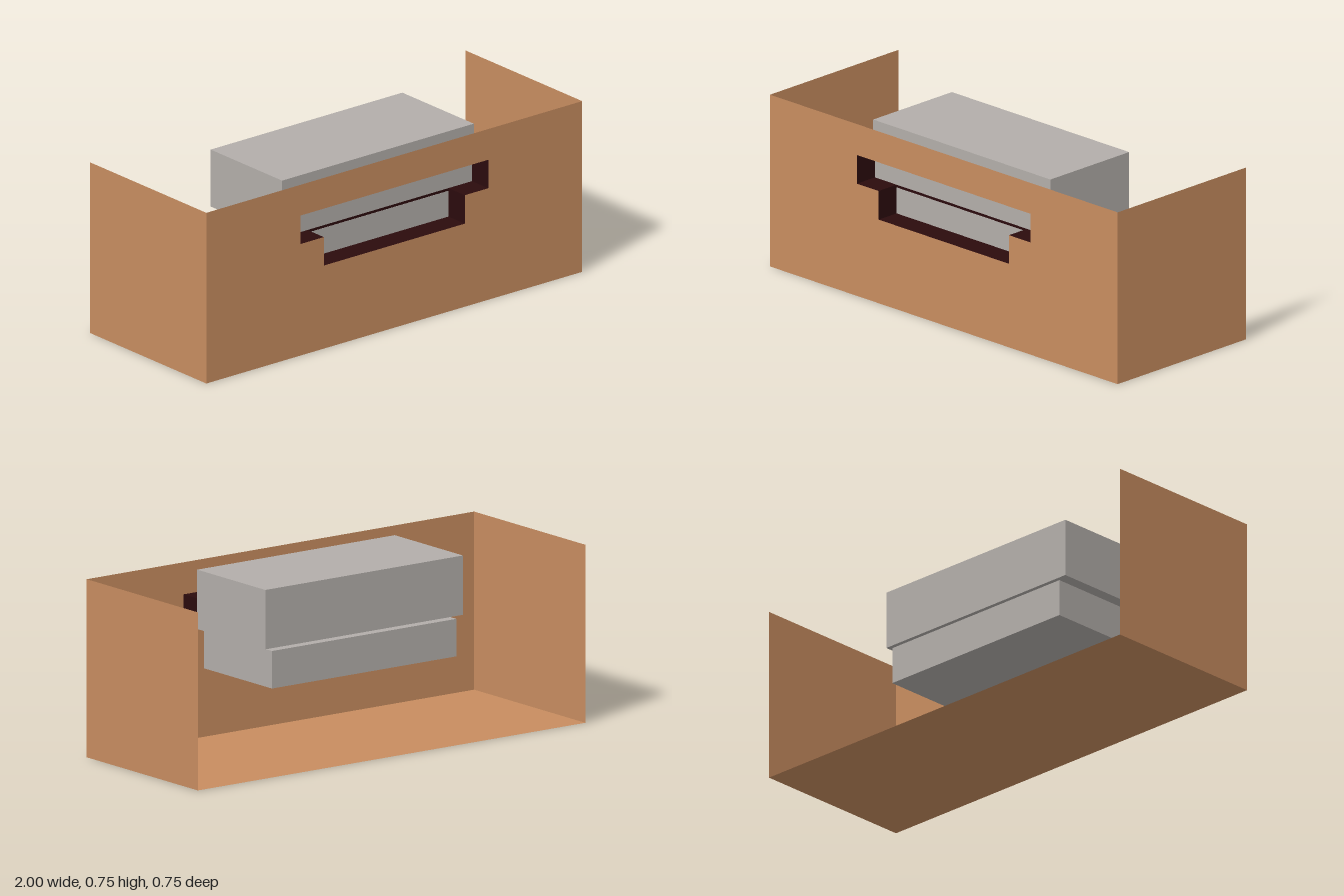
import * as THREE from 'three';

const cardboard = new THREE.MeshStandardMaterial({ name: 'tan board', color: 0xc88d60, side: THREE.DoubleSide });
const grey = new THREE.MeshStandardMaterial({ name: 'warm grey', color: 0xb3aeaa });
const dark = new THREE.MeshStandardMaterial({ name: 'dark maroon', color: 0x2b0b0d, side: THREE.DoubleSide });

// stepped outline of the front opening: wide above, narrow below
const opening = [
  [-0.5, 0.615], [0.5, 0.615], [0.5, 0.49], [0.375, 0.49],
  [0.375, 0.365], [-0.375, 0.365], [-0.375, 0.49], [-0.5, 0.49],
];
const FRONT = 0.375, INNER = 0.27;

export function createModel() {
  const model = new THREE.Group();
  model.name = 'openCase';

  const add = (name, geometry, material, x = 0, y = 0, z = 0) => {
    const mesh = new THREE.Mesh(geometry, material);
    mesh.name = name;
    mesh.position.set(x, y, z);
    model.add(mesh);
    return mesh;
  };
  const block = (name, material, halfX, y0, y1, z0, z1) =>
    add(name, new THREE.BoxGeometry(2 * halfX, y1 - y0, z1 - z0), material, 0, (y0 + y1) / 2, (z0 + z1) / 2);

  // front panel with the stepped opening
  const panel = new THREE.Shape([[-1, 0], [1, 0], [1, 0.75], [-1, 0.75]].map(([x, y]) => new THREE.Vector2(x, y)));
  panel.holes.push(new THREE.Path(opening.map(([x, y]) => new THREE.Vector2(x, y))));
  add('frontPanel', new THREE.ShapeGeometry(panel), cardboard, 0, 0, FRONT);

  // floor and side panels; back and top stay open
  add('floor', new THREE.PlaneGeometry(2, 0.75).rotateX(-Math.PI / 2), cardboard);
  for (const [name, side] of [['leftPanel', 1], ['rightPanel', -1]]) {
    add(name, new THREE.PlaneGeometry(0.75, 0.75).rotateY(side * Math.PI / 2), cardboard, side, 0.375, 0);
  }

  // dark lining running inward from the opening's edge
  const corners = [];
  opening.forEach(([ax, ay], i) => {
    const [bx, by] = opening[(i + 1) % opening.length];
    corners.push(ax, ay, FRONT, bx, by, FRONT, bx, by, INNER, ax, ay, FRONT, bx, by, INNER, ax, ay, INNER);
  });
  const lining = new THREE.BufferGeometry();
  lining.setAttribute('position', new THREE.Float32BufferAttribute(corners, 3));
  lining.computeVertexNormals();
  add('openingLining', lining, dark);

  // two stacked blocks behind the opening, with a dark seam between them
  block('upperBlock', grey, 0.51, 0.49, 0.74, -0.19, INNER);
  block('lowerBlock', grey, 0.476, 0.32, 0.478, -0.19, INNER);
  block('seam', dark, 0.476, 0.478, 0.49, INNER - 0.006, INNER - 0.001);

  return model;
}
